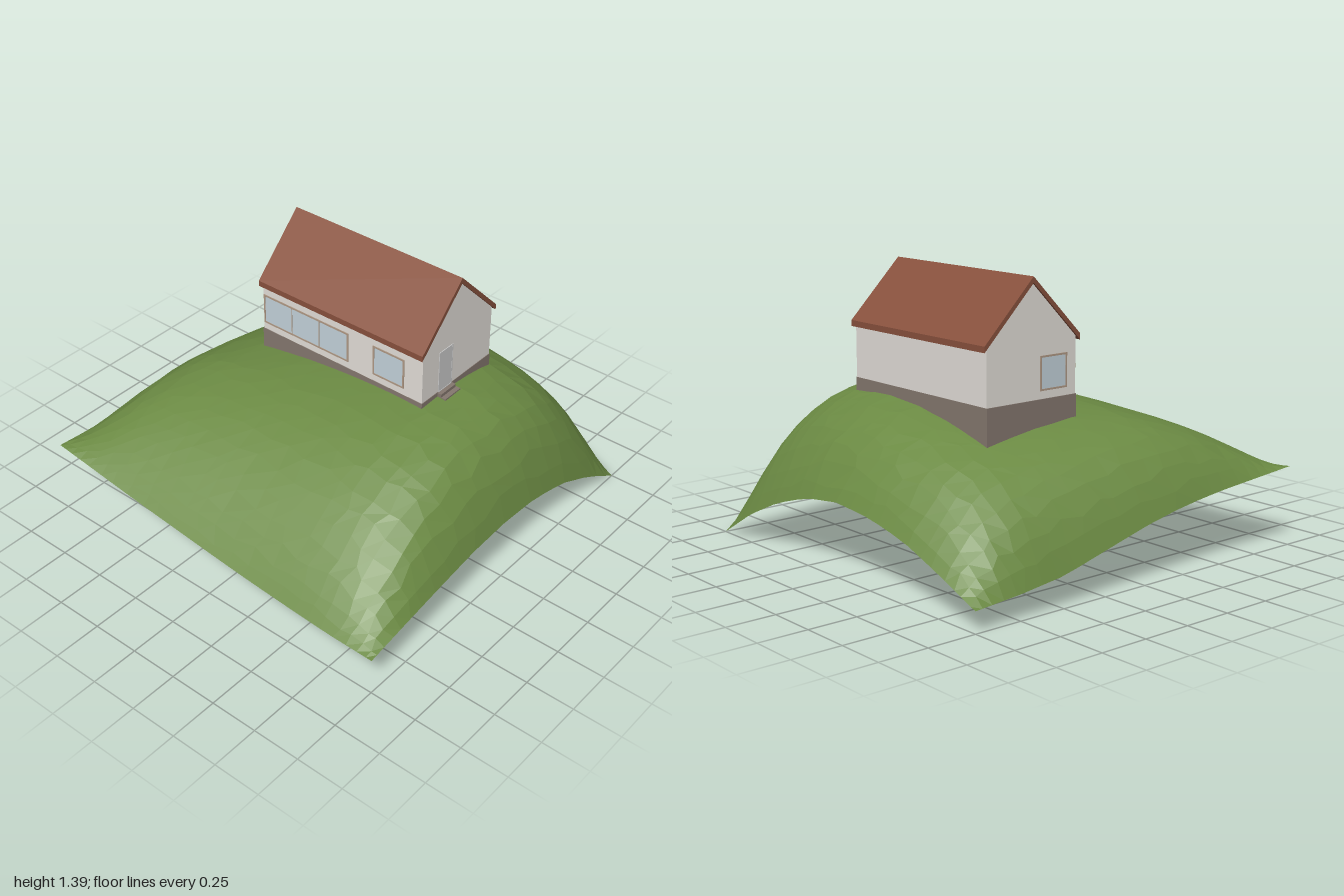
import * as THREE from 'three';

const mat = (color, extra = {}) => new THREE.MeshStandardMaterial({ color, ...extra });
const M = {
  grass: mat(0x6b8a43, { flatShading: true, side: THREE.DoubleSide }),
  wall: mat(0xe3dfd9),
  base: mat(0x85786f),
  roof: mat(0x88513d),
  frame: mat(0xb09a86),
  glass: mat(0xc4d3db),
  door: mat(0xc6c8ca),
};
const lerp = THREE.MathUtils.lerp;

function add(parent, name, geometry, material) {
  const mesh = new THREE.Mesh(geometry, material);
  mesh.name = name;
  parent.add(mesh);
  return mesh;
}

// Box given by its minimum and maximum corners
function box(parent, name, material, [x0, y0, z0], [x1, y1, z1]) {
  const g = new THREE.BoxGeometry(x1 - x0, y1 - y0, z1 - z0);
  g.translate((x0 + x1) / 2, (y0 + y1) / 2, (z0 + z1) / 2);
  return add(parent, name, g, material);
}

// Outline in (z, y), extruded along x and centred
function prism(parent, name, material, points, length) {
  const shape = new THREE.Shape(points.map(([z, y]) => new THREE.Vector2(-z, y)));
  const g = new THREE.ExtrudeGeometry(shape, { depth: length, bevelEnabled: false });
  g.translate(0, 0, -length / 2).rotateY(Math.PI / 2);
  return add(parent, name, g, material);
}

// Framed opening in the XY plane, facing +z, with equal panes
function framed(name, width, height, panes, frameMaterial, fill, border) {
  const group = new THREE.Group();
  group.name = name;
  const rect = (path, x0, y0, x1, y1) =>
    path.moveTo(x0, y0).lineTo(x1, y0).lineTo(x1, y1).lineTo(x0, y1).closePath();
  const shape = rect(new THREE.Shape(), 0, 0, width, height);
  const pitch = (width - 2 * border) / panes;
  for (let i = 0; i < panes; i++) {
    const x = border + i * pitch;
    shape.holes.push(rect(new THREE.Path(), x + (i ? 0.002 : 0), border,
      x + pitch - (i < panes - 1 ? 0.002 : 0), height - border));
  }
  const frame = new THREE.ExtrudeGeometry(shape, { depth: 0.004, bevelEnabled: false });
  add(group, 'frame', frame, frameMaterial);
  box(group, 'panel', fill, [border, border, -0.002], [width - border, height - border, 0.002]);
  return group;
}

// Hill: four edge lines blended into a patch, plus a flat-topped dome
function makeHill() {
  const edge = (ys) => (t) => {
    const i = Math.min(Math.floor(t * (ys.length - 1)), ys.length - 2);
    return lerp(ys[i], ys[i + 1], t * (ys.length - 1) - i);
  };
  const front = edge([0.4, 0.365, 0.33, 0.3, 0.27, 0.243, 0.222, 0.205, 0.2]);
  const back = edge([0.1, 0.2, 0.29, 0.34, 0.36, 0.33, 0.255, 0.145, 0]);
  const right = edge([0, 0.15, 0.265, 0.325, 0.34, 0.325, 0.287, 0.245, 0.2]);
  const left = edge([0.1, 0.12, 0.15, 0.215, 0.28, 0.33, 0.36, 0.38, 0.4]);
  const height = (x, z) => {
    const u = (x + 1) / 2, v = (z + 1) / 2;
    const patch = lerp(back(u), front(u), v) + lerp(left(v), right(v), u)
      - lerp(lerp(0.1, 0, u), lerp(0.4, 0.2, u), v);
    const domeX = 0.33 * (1 - Math.abs(x) ** 8);
    const lean = x * (1 - x ** 6) * (x > 0 ? 0.075 : 0.03);
    const domeZ = 1 - Math.abs(z) ** (z > 0 ? 2.8 : 5.4);
    return patch + (domeX + lean) * domeZ;
  };
  const segments = 24;
  const g = new THREE.PlaneGeometry(2, 2, segments, segments).rotateX(-Math.PI / 2);
  const p = g.attributes.position;
  let seed = 7;
  const random = () => (seed = (seed * 16807) % 2147483647) / 2147483647;
  // Rows are packed towards the steep rim; inner points are shifted for uneven facets
  const place = (t) => {
    const shift = Math.abs(t) > 0.999 ? 0 : (random() - 0.5) * 0.9 / segments;
    return lerp(t + shift, Math.sin((t + shift) * Math.PI / 2), 0.6);
  };
  for (let i = 0; i < p.count; i++) {
    const x = place(p.getX(i)), z = place(p.getZ(i));
    p.setXYZ(i, x, height(x, z), z);
  }
  g.computeVertexNormals();
  return g;
}

export function createModel() {
  const model = new THREE.Group();
  model.name = 'houseOnHill';
  add(model, 'hill', makeHill(), M.grass);

  const house = new THREE.Group();
  house.name = 'house';
  model.add(house);
  const zF = 0.02, zB = -0.52, zR = -0.25;

  box(house, 'foundation', M.base, [-0.505, 0.62, zB - 0.003], [0.503, 0.815, zF + 0.003]);
  prism(house, 'walls', M.wall,
    [[zF, 0.81], [zF, 1.09], [zR, 1.36], [zB, 1.09], [zB, 0.81]], 1.0);
  prism(house, 'roof', M.roof,
    [[0.04, 1.07], [0.04, 1.1], [zR, 1.39], [-0.54, 1.1], [-0.54, 1.07], [zR, 1.36]], 1.02);

  // Windows on the front and on the right-hand gable
  const longWindow = framed('longWindow', 0.545, 0.165, 3, M.frame, M.glass, 0.009);
  longWindow.position.set(-0.496, 0.853, zF);
  const smallWindow = framed('smallWindow', 0.19, 0.165, 1, M.frame, M.glass, 0.009);
  smallWindow.position.set(0.202, 0.853, zF);
  const gableWindow = framed('gableWindow', 0.165, 0.165, 1, M.frame, M.glass, 0.009);
  gableWindow.position.set(-0.5, 0.853, -0.2);
  gableWindow.rotation.y = -Math.PI / 2;

  // Door with two low steps on the left-hand gable
  const door = framed('door', 0.105, 0.23, 1, M.door, M.door, 0.005);
  door.position.set(0.5, 0.81, -0.105);
  door.rotation.y = Math.PI / 2;
  house.add(longWindow, smallWindow, gableWindow, door);
  box(house, 'upperStep', M.base, [0.49, 0.77, -0.215], [0.525, 0.812, -0.1]);
  box(house, 'lowerStep', M.base, [0.52, 0.77, -0.22], [0.55, 0.795, -0.1]);
  return model;
}
